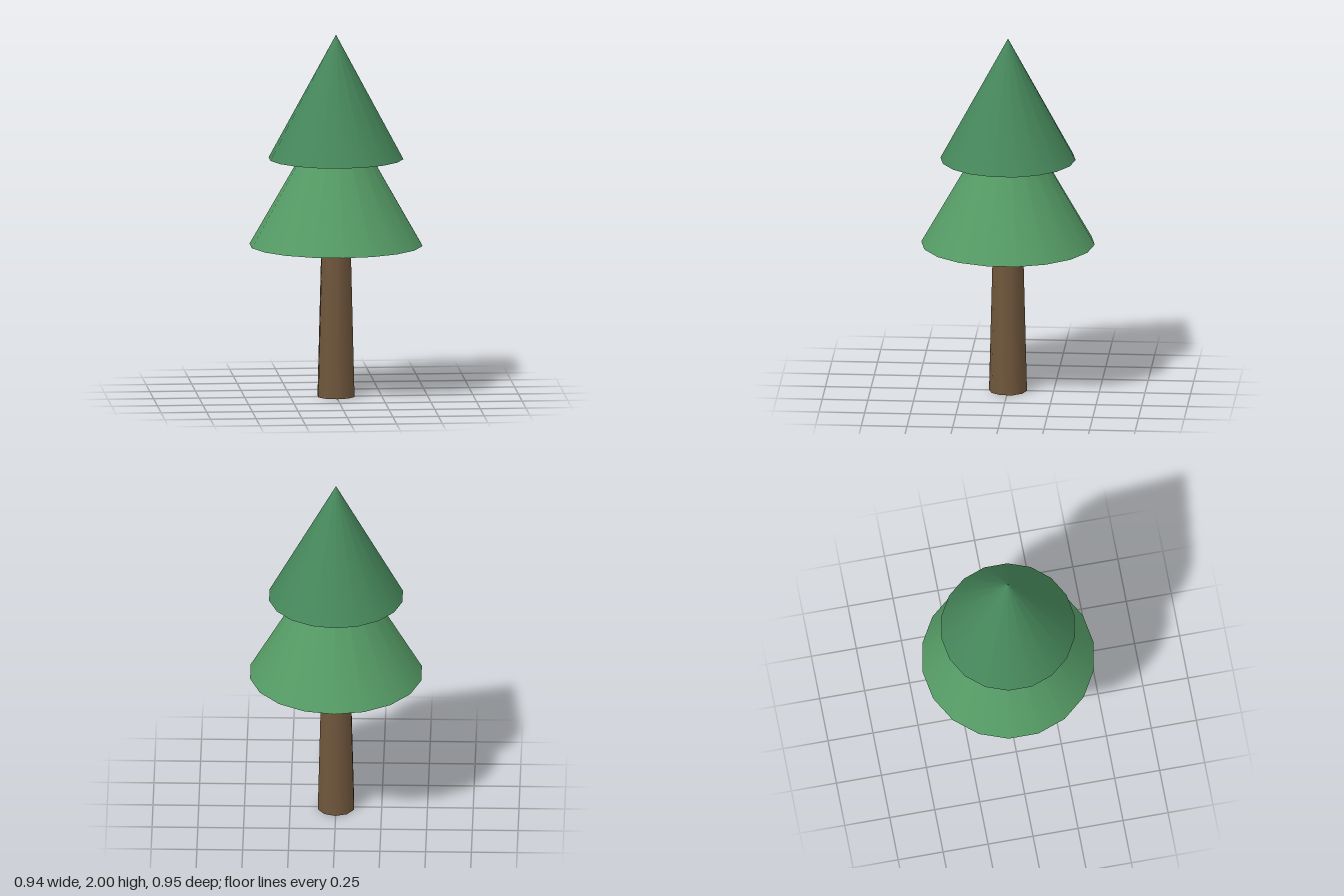
import * as THREE from 'three';

// Tapered round part standing on height y, with one corner towards +z
function addTapered(group, name, color, rTop, rBottom, y, height, sides) {
  const geometry = new THREE.CylinderGeometry(rTop, rBottom, height, sides);
  geometry.translate(0, y + height / 2, 0);
  const mesh = new THREE.Mesh(geometry, new THREE.MeshStandardMaterial({ color }));
  mesh.name = name;
  group.add(mesh);
}

export function createModel() {
  const tree = new THREE.Group();
  tree.name = 'pineTree';

  // Trunk, reaching slightly into the foliage
  addTapered(tree, 'trunk', 0x6f563c, 0.082, 0.104, 0, 0.86, 10);

  // Two stacked foliage cones, the upper one smaller and darker
  addTapered(tree, 'lowerFoliage', 0x559b65, 0, 0.475, 0.838, 0.83, 18);
  addTapered(tree, 'upperFoliage', 0x46875b, 0, 0.37, 1.317, 0.683, 18);

  return tree;
}
